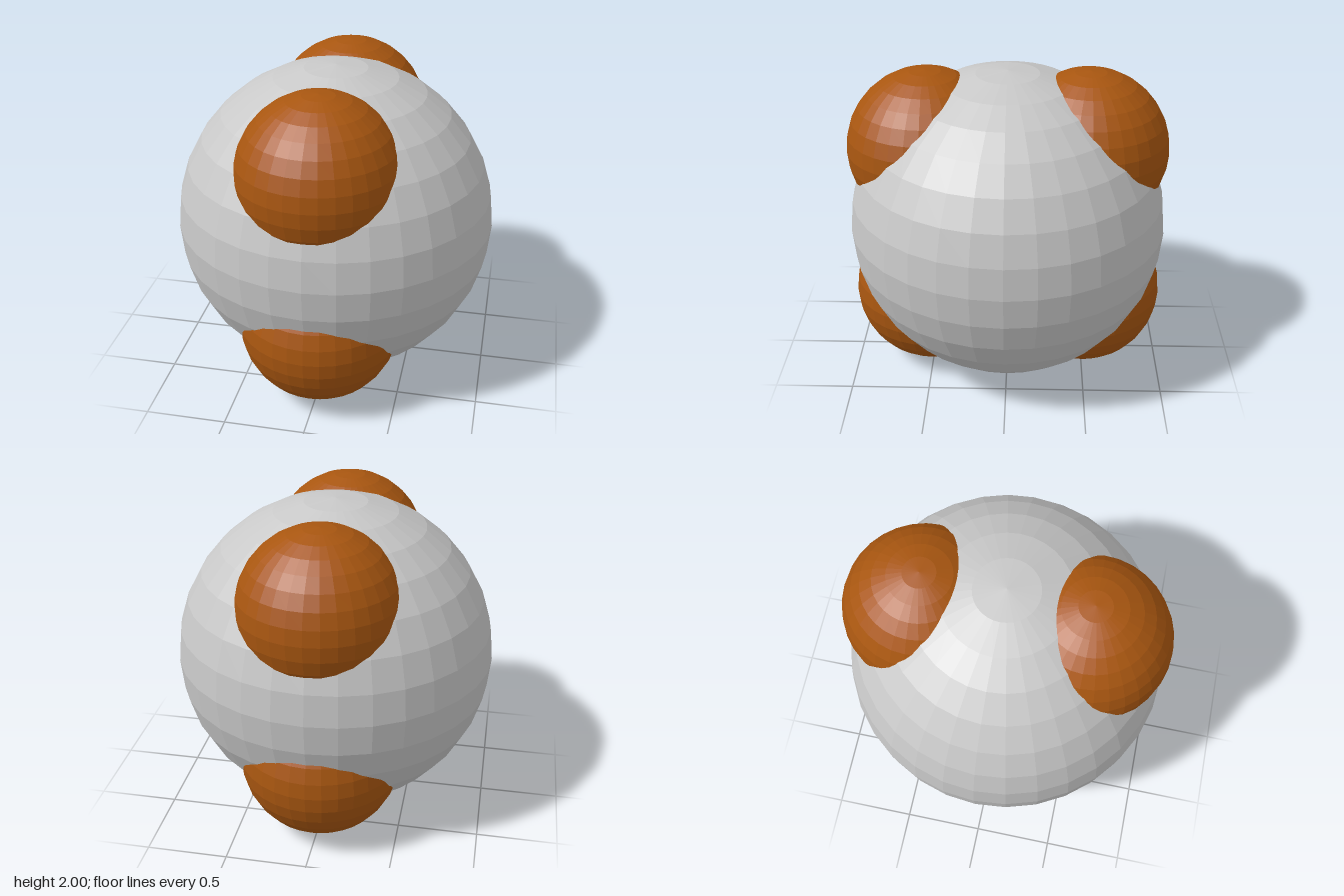
import * as THREE from 'three';

// Faceted ball with one flat normal per face
function ball(name, radius, material, x, y, z) {
  const geometry = new THREE.SphereGeometry(radius, 32, 16).toNonIndexed();
  geometry.computeVertexNormals();
  const mesh = new THREE.Mesh(geometry, material);
  mesh.name = name;
  mesh.position.set(x, y, z);
  return mesh;
}

export function createModel() {
  const grey = new THREE.MeshStandardMaterial({ color: 0xc8c8c8 });
  grey.name = 'light grey';
  const orange = new THREE.MeshStandardMaterial({ color: 0xa85610 });
  orange.name = 'burnt orange';

  const model = new THREE.Group();
  model.name = 'studdedBall';

  // Main ball
  model.add(ball('body', 1, grey, 0, 1, 0));

  // Four bumps, above and below the equator at front and back
  for (const [vertical, y] of [['upper', 1.5], ['lower', 0.5]]) {
    for (const [side, z] of [['Front', 0.5], ['Back', -0.5]]) {
      model.add(ball(`${vertical}${side}Bump`, 0.5, orange, 0, y, z));
    }
  }
  return model;
}
